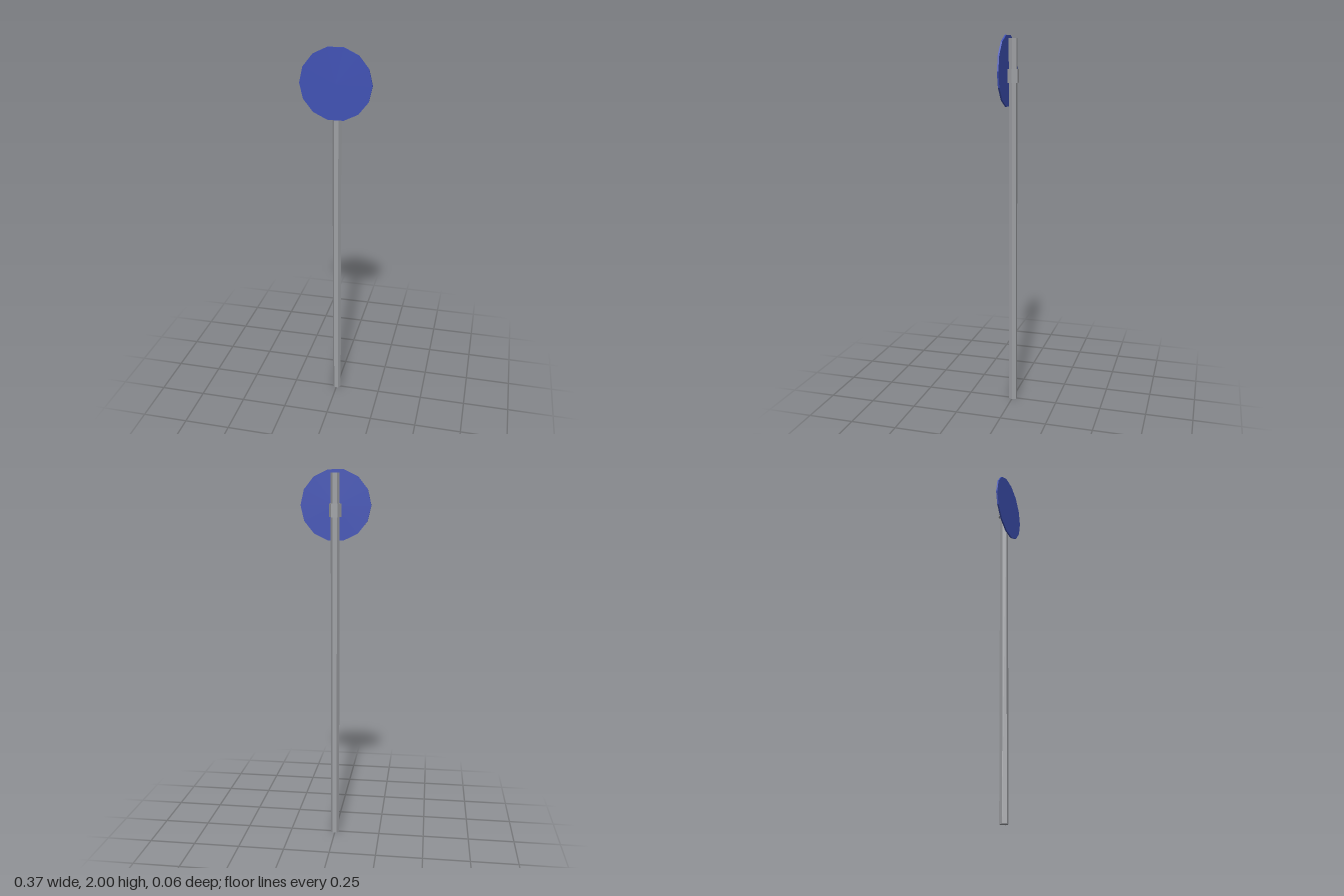
import * as THREE from 'three';

export function createModel() {
  const model = new THREE.Group();
  model.name = 'roadSign';
  const steel = new THREE.MeshStandardMaterial({ color: 0x9fa1a5, flatShading: true });
  steel.name = 'grey steel';
  const blue = new THREE.MeshStandardMaterial({ color: 0x3f51b5, flatShading: true });
  blue.name = 'blue paint';

  // Prism with corners pointing along +x and -x
  const prism = (radius, length, sides) =>
    new THREE.CylinderGeometry(radius, radius, length, sides).rotateY(Math.PI / 2);

  const add = (name, geometry, material, y, z) => {
    const mesh = new THREE.Mesh(geometry, material);
    mesh.name = name;
    mesh.position.set(0, y, z);
    model.add(mesh);
  };

  // Hexagonal post and the clamp that holds the plate
  add('post', prism(0.023, 1.984, 6), steel, 0.992, -0.0025);
  add('clamp', prism(0.0325, 0.069, 6), steel, 1.7965, -0.0025);

  // Fourteen-sided sign plate facing the front
  add('signPlate', prism(0.184, 0.008, 14).rotateX(Math.PI / 2), blue, 1.8206, 0.0255);

  return model;
}
